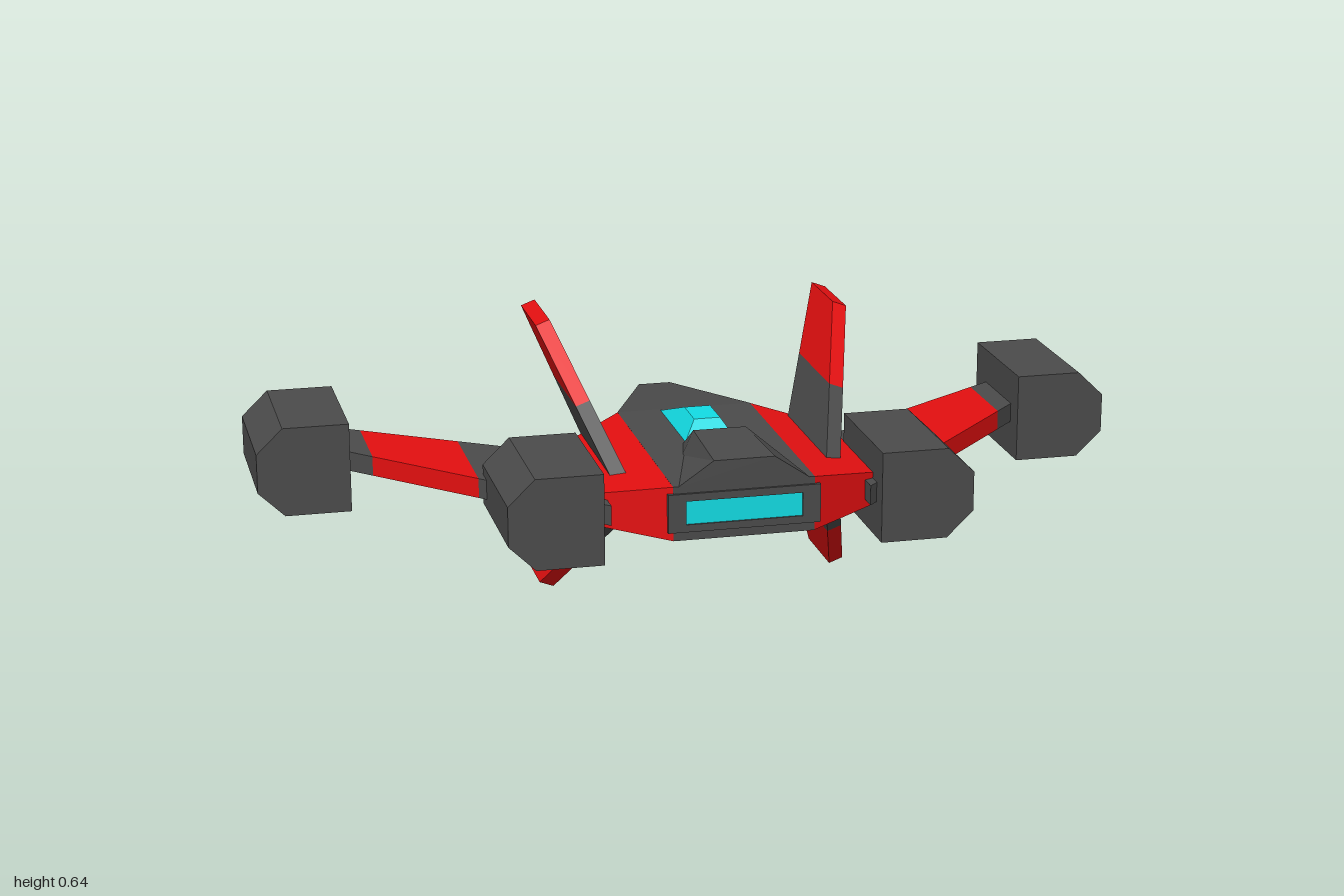
import * as THREE from 'three';

const GREY = 0x4b4b4b, RED = 0xe30f10, CYAN = 0x12dce4;
const MID = 0.32; // height of the wing plane

// Skin a row of matching rings, cap both ends, and face everything outward.
function loft(name, rings, color) {
  const n = rings[0].length, tris = [];
  for (let i = 0; i < rings.length - 1; i++) {
    for (let j = 0; j < n; j++) {
      const k = (j + 1) % n, a = rings[i], b = rings[i + 1];
      tris.push([a[j], a[k], b[k]], [a[j], b[k], b[j]]);
    }
  }
  const end = rings[rings.length - 1];
  for (let j = 1; j < n - 1; j++) {
    tris.push([rings[0][0], rings[0][j + 1], rings[0][j]], [end[0], end[j], end[j + 1]]);
  }
  let volume = 0;
  const centre = new THREE.Vector3(...rings[0][0]);
  for (const t of tris) {
    const [a, b, c] = t.map((p) => new THREE.Vector3(...p).sub(centre));
    volume += a.dot(b.cross(c));
  }
  if (volume < 0) tris.forEach((t) => t.reverse());
  const geometry = new THREE.BufferGeometry();
  geometry.setAttribute('position', new THREE.Float32BufferAttribute(tris.flat(2), 3));
  geometry.computeVertexNormals();
  const mesh = new THREE.Mesh(geometry, new THREE.MeshStandardMaterial({ color, flatShading: true }));
  mesh.name = name;
  return mesh;
}

// Upright rectangle across x at depth z
const rectXY = (w, y0, y1, z) => [[-w, y0, z], [w, y0, z], [w, y1, z], [-w, y1, z]];
// Upright rectangle across z at position x
const rectZY = (x, y0, y1, z0, z1) => [[x, y0, z0], [x, y0, z1], [x, y1, z1], [x, y1, z0]];
// Level rectangle at height y
const rectXZ = (w, y, z0, z1) => [[-w, y, z0], [w, y, z0], [w, y, z1], [-w, y, z1]];

// Engine pod: chamfered on its outer side, tapering at the back
function pod(name, side, inner, front) {
  const outline = [[0, -0.103], [0.15, -0.103], [0.21, -0.045], [0.21, 0.045], [0.15, 0.103], [0, 0.103]];
  const ring = (z, s) => outline.map(([x, y]) => [side * (inner + 0.12 + (x - 0.12) * s), MID + 0.002 + y * s, z]);
  return loft(name, [ring(front, 1), ring(front - 0.305, 1), ring(front - 0.385, 0.38)], GREY);
}

// Swept wing slice between two distances from the centre line
function wingBand(name, side, x0, x1, color) {
  const section = (x) => rectZY(side * x, 0.3, 0.345, -0.285 + (0.79 - x) * 0.66, -0.1 + (0.79 - x) * 1.03);
  return loft(name, [section(x0), section(x1)], color);
}

// Swept, outward-leaning fin slice; h is the height above or below the wing plane
function finBand(name, side, up, h0, h1, color) {
  const section = (h) => {
    const x = 0.238 + (h - 0.03) * 0.385, front = 0.285 - (h - 0.04) * 1.21, rear = -0.045 - (h - 0.04) * 0.655;
    const inX = side * (x - 0.016), outX = side * (x + 0.016);
    const inY = MID + up * (h + 0.006), outY = MID + up * (h - 0.006);
    return [[inX, inY, front], [outX, outY, front], [outX, outY, rear], [inX, inY, rear]];
  };
  return loft(name, [section(h0), section(h1)], color);
}

export function createModel() {
  const model = new THREE.Group();
  model.name = 'spacecraft';

  // Central hull with tapering tail
  model.add(loft('hull', [
    rectXY(0.158, 0.26, 0.383, 0.433), rectXY(0.158, 0.26, 0.383, -0.13), rectXY(0.038, 0.29, 0.352, -0.44),
  ], GREY));

  // Raised hump over the intake, sloping down to the cockpit
  const hump = (z, base, top, y) => [[-base, 0.38, z], [base, 0.38, z], [top, y, z], [-top, y, z]];
  model.add(loft('hump', [
    hump(0.433, 0.15, 0.068, 0.436), hump(0.21, 0.085, 0.06, 0.436), hump(0.13, 0.065, 0.06, 0.384),
  ], GREY));

  // Cockpit canopy
  model.add(loft('canopy', [rectXZ(0.06, 0.38, -0.13, 0.13), rectXZ(0.03, 0.425, 0, 0.095)], CYAN));

  // Front intake: frame and glowing slot
  const frame = new THREE.Shape([[-0.17, 0.28], [0.17, 0.28], [0.17, 0.367], [-0.17, 0.367]].map((p) => new THREE.Vector2(...p)));
  frame.holes.push(new THREE.Path([[-0.13, 0.297], [-0.13, 0.35], [0.13, 0.35], [0.13, 0.297]].map((p) => new THREE.Vector2(...p))));
  const intake = new THREE.Mesh(
    new THREE.ExtrudeGeometry(frame, { depth: 0.03, bevelEnabled: false }),
    new THREE.MeshStandardMaterial({ color: GREY, flatShading: true }));
  intake.name = 'intakeFrame';
  intake.position.z = 0.409;
  model.add(intake);
  model.add(loft('intakeSlot', [rectXY(0.13, 0.297, 0.35, 0.42), rectXY(0.13, 0.297, 0.35, 0.435)], CYAN));

  for (const side of [1, -1]) {
    const label = side > 0 ? 'left' : 'right';

    // Red flank joining hull and wing
    model.add(loft(label + 'Flank', [
      rectZY(side * 0.157, 0.26, 0.383, -0.13, 0.433), rectZY(side * 0.312, 0.284, 0.358, 0, 0.362),
    ], RED));

    // Wing in three bands
    model.add(wingBand(label + 'WingRoot', side, 0.29, 0.535, GREY));
    model.add(wingBand(label + 'WingStripe', side, 0.535, 0.74, RED));
    model.add(wingBand(label + 'WingTip', side, 0.74, 0.81, GREY));

    // Engine pods
    model.add(pod(label + 'InnerPod', side, 0.31, 0.437));
    model.add(pod(label + 'OuterPod', side, 0.79, -0.05));

    // Upper and lower fins
    for (const up of [1, -1]) {
      const fin = label + (up > 0 ? 'Upper' : 'Lower') + 'Fin';
      model.add(finBand(fin + 'Root', side, up, 0.03, 0.17, GREY));
      model.add(finBand(fin + 'Tip', side, up, 0.17, 0.313, RED));
    }
  }
  return model;
}
